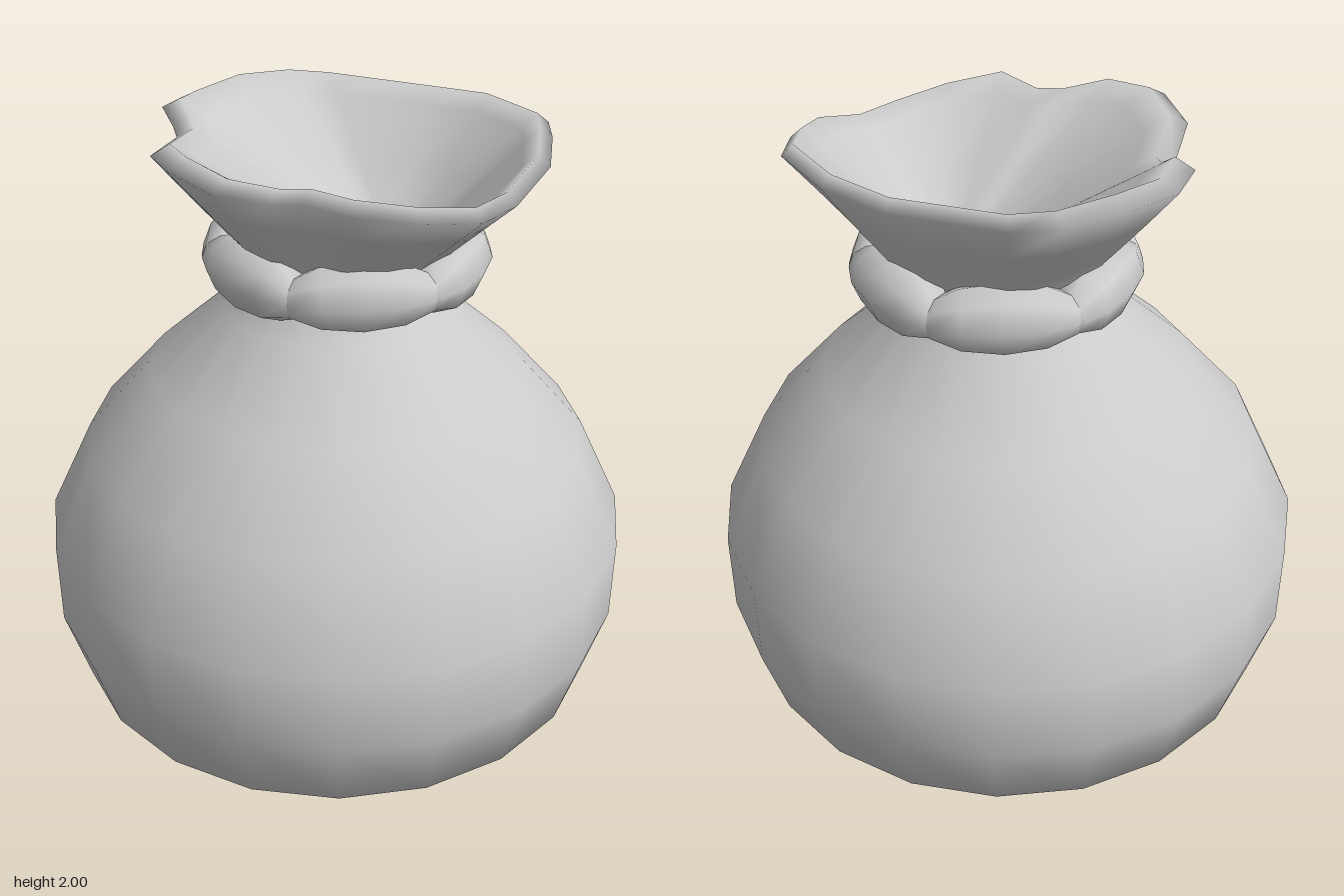
import * as THREE from 'three';

const material = new THREE.MeshStandardMaterial({ color: 0xcccccc });
const NECK_Z = -0.04; // the gathered neck sits slightly behind the axis

function part(name, geometry) {
  const mesh = new THREE.Mesh(geometry, material);
  mesh.name = name;
  return mesh;
}

// Skin a list of closed rings (arrays of [x, y, z]) with shared, smooth vertices
function loft(rings) {
  const n = rings[0].length;
  const index = [];
  for (let i = 0; i < rings.length - 1; i++) {
    for (let j = 0; j < n; j++) {
      const k = (j + 1) % n;
      const a = i * n + j, b = i * n + k, c = a + n, d = b + n;
      index.push(a, c, b, b, c, d);
    }
  }
  const geometry = new THREE.BufferGeometry();
  geometry.setAttribute('position', new THREE.Float32BufferAttribute(rings.flat(2), 3));
  geometry.setIndex(index);
  geometry.computeVertexNormals();
  return geometry;
}

// Round, full sack body
function createBody() {
  const profile = [
    [0, 0], [0.31, 0], [0.56, 0.06], [0.83, 0.24], [0.9, 0.48], [0.9, 0.74],
    [0.765, 1.02], [0.56, 1.25], [0.335, 1.45], [0.27, 1.56],
  ].map(([r, y]) => new THREE.Vector2(r, y));
  return part('sackBody', new THREE.LatheGeometry(profile, 20));
}

// Ruffled mouth: outer flare, rolled rim, and a funnel closing inside
function createMouth() {
  // Rim outline from the back, round by +x: x, z, height
  const rim = [
    [0.03, -0.565, 1.98], [0.27, -0.56, 1.98], [0.37, -0.48, 1.98], [0.48, -0.37, 1.95],
    [0.545, -0.19, 1.9], [0.58, -0.04, 1.9], [0.545, 0.14, 1.93], [0.46, 0.3, 1.96],
    [0.3, 0.33, 1.95], [0.25, 0.4, 1.95], [0.17, 0.52, 1.98], [0, 0.55, 2],
    [-0.17, 0.5, 1.98], [-0.33, 0.32, 1.95], [-0.39, 0.295, 1.96], [-0.455, 0.29, 2],
    [-0.525, 0.18, 1.99], [-0.555, 0, 2], [-0.53, -0.18, 1.99], [-0.455, -0.29, 1.98],
    [-0.17, -0.49, 1.97],
  ];
  const mix = THREE.MathUtils.lerp;

  // Ring between a neck circle and the rim outline
  const flare = (radius, y, t, drop) => rim.map(([x, z, h]) => {
    const angle = Math.atan2(z - NECK_Z, x);
    return [
      mix(radius * Math.cos(angle), x, t),
      mix(y, h - drop, t),
      mix(NECK_Z + radius * Math.sin(angle), z, t),
    ];
  });
  // Ring between the rim and the pinched bottom of the funnel
  const funnel = (scale, depth) => rim.map(([x, z, h]) => [
    mix(0.1, x, scale), mix(h, 1.6, depth), mix(-0.14, z, scale),
  ]);

  return part('ruffledMouth', loft([
    flare(0.27, 1.5, 0, 0),
    flare(0.27, 1.59, 0, 0),
    flare(0.29, 1.61, 0.32, 0.03),
    flare(0.32, 1.64, 0.65, 0.03),
    flare(0.3, 1.6, 1, 0.03),
    funnel(0.92, 0),
    funnel(0.82, 0.12),
    funnel(0.5, 0.5),
    funnel(0.22, 0.84),
    funnel(0, 1),
  ]));
}

// Six overlapping, pointed beads form the tie round the neck
function createTie() {
  const tie = new THREE.Group();
  tie.name = 'neckTie';
  tie.position.set(0, 1.595, NECK_Z);
  const bead = new THREE.SphereGeometry(1, 8, 6);
  bead.rotateZ(Math.PI / 2); // poles along the neck's tangent
  bead.scale(0.235, 0.105, 0.105);
  for (let i = 0; i < 6; i++) {
    const angle = i * Math.PI / 3;
    const mesh = part('tieBead', bead);
    mesh.position.set(0.32 * Math.sin(angle), 0, 0.32 * Math.cos(angle));
    mesh.rotation.y = angle;
    tie.add(mesh);
  }
  return tie;
}

export function createModel() {
  const sack = new THREE.Group();
  sack.name = 'tiedSack';
  sack.add(createBody(), createMouth(), createTie());
  return sack;
}
